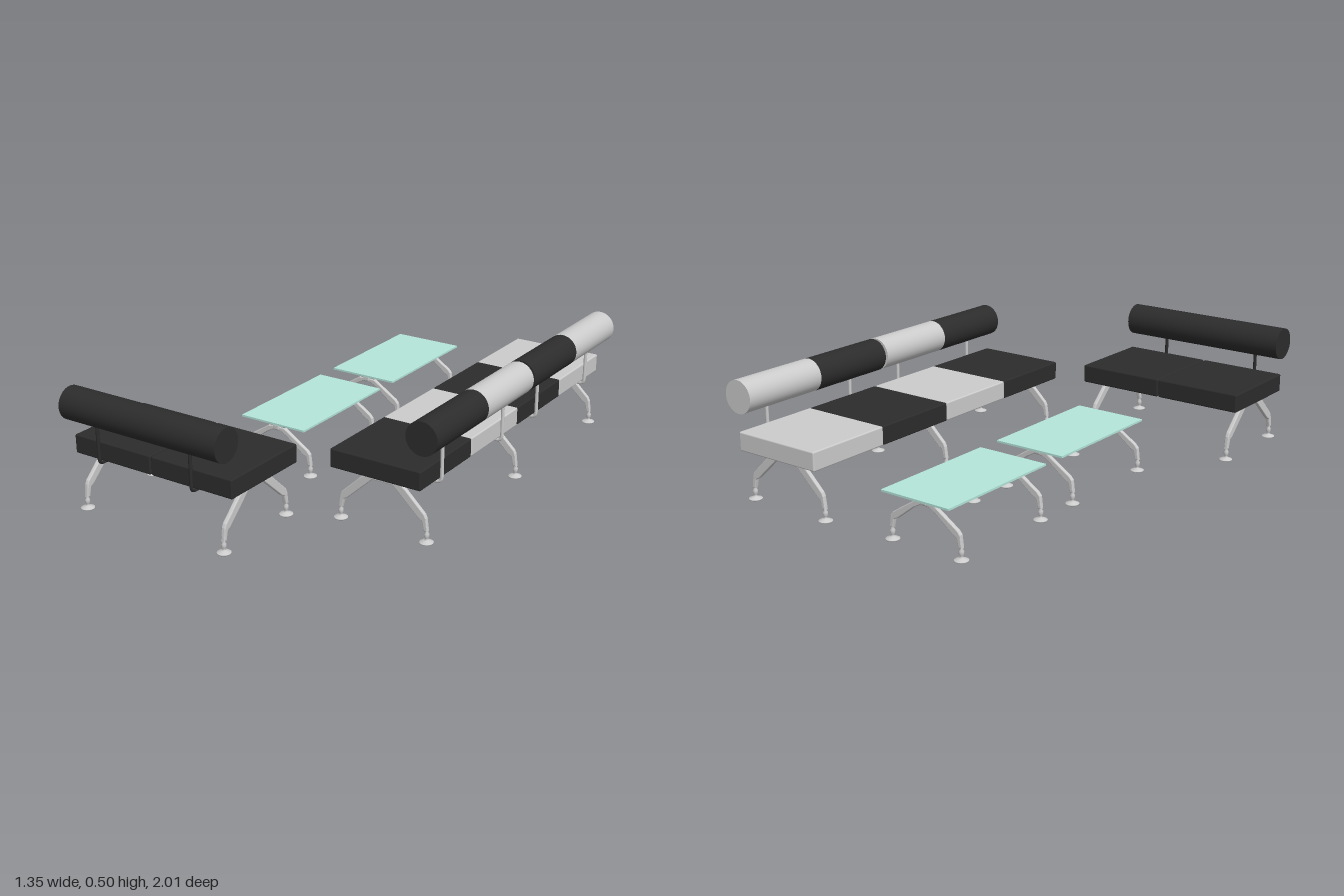
import * as THREE from 'three';
import { RoundedBoxGeometry } from 'three/addons/geometries/RoundedBoxGeometry.js';

const mat = (color) => new THREE.MeshStandardMaterial({ color });
const metal = mat(0xcccccc);
const light = mat(0xcccccc);
const dark = mat(0x2c2c2c);
const glass = mat(0xb4e6da);

function add(parent, name, geometry, material, x = 0, y = 0, z = 0) {
  const mesh = new THREE.Mesh(geometry, material);
  mesh.name = name;
  mesh.position.set(x, y, z);
  parent.add(mesh);
  return mesh;
}

// Round bar between two points
function bar(parent, name, a, b, radius, material = metal) {
  const from = new THREE.Vector3(...a), to = new THREE.Vector3(...b);
  const mesh = add(parent, name, new THREE.CylinderGeometry(radius, radius, from.distanceTo(to), 12), material);
  mesh.position.copy(from).add(to).multiplyScalar(0.5);
  mesh.quaternion.setFromUnitVectors(new THREE.Vector3(0, 1, 0), to.sub(from).normalize());
}

// Levelling foot: flared disc, thin neck and collar
const footProfile = [[0, 0], [0.027, 0], [0.027, 0.004], [0.01, 0.011], [0.006, 0.014],
  [0.006, 0.02], [0.01, 0.026], [0.01, 0.038], [0.006, 0.044], [0.006, 0.06]];
const footGeometry = new THREE.LatheGeometry(footProfile.map((p) => new THREE.Vector2(...p)), 20);

// Arched pair of legs: half outline mirrored, then extruded with soft edges
function legGeometry(half) {
  const mirrored = half.map(([x, y]) => [-x, y]).reverse();
  const shape = new THREE.Shape([...half, ...mirrored].map((p) => new THREE.Vector2(...p)));
  const geometry = new THREE.ExtrudeGeometry(shape, {
    depth: 0.008, bevelThickness: 0.005, bevelSize: 0.004, bevelOffset: -0.004, bevelSegments: 3,
  });
  return geometry.translate(0, 0, -0.004);
}
const seatLegs = legGeometry([[0.03, 0.214], [0.075, 0.212], [0.1, 0.194], [0.183, 0.115], [0.19, 0.1],
  [0.197, 0.048], [0.181, 0.048], [0.172, 0.086], [0.156, 0.095], [0.06, 0.184], [0.045, 0.198], [0.02, 0.198]]);
const tableLegs = legGeometry([[0.01, 0.187], [0.04, 0.184], [0.15, 0.113], [0.163, 0.098],
  [0.169, 0.048], [0.153, 0.048], [0.145, 0.084], [0.128, 0.092], [0.05, 0.152], [0.02, 0.168]]);

function legFrame(parent, geometry, footX, z) {
  const frame = new THREE.Group();
  frame.name = 'legFrame';
  frame.position.z = z;
  parent.add(frame);
  add(frame, 'legs', geometry, metal);
  for (const s of [-1, 1]) add(frame, 'foot', footGeometry, metal, s * footX, 0, 0);
  return frame;
}

// Bench running along z with its back towards +x; seats and backs are [zStart, zEnd, material]
function bench(name, { seats, backs, frames, posts, postMaterial }) {
  const group = new THREE.Group();
  group.name = name;
  for (const [a, b, m] of seats) {
    add(group, 'seatCushion', new RoundedBoxGeometry(0.395, 0.077, b - a, 3, 0.006), m, -0.015, 0.258, (a + b) / 2);
  }
  for (const [a, b, m] of backs) {
    const roll = add(group, 'backRoll', new THREE.CylinderGeometry(0.067, 0.067, b - a, 40), m, 0.187, 0.43, (a + b) / 2);
    roll.rotation.x = Math.PI / 2;
  }
  for (const z of frames) legFrame(group, seatLegs, 0.19, z);
  // Twin rails joining the leg frames
  for (const s of [-1, 1]) {
    bar(group, 'rail', [s * 0.065, 0.208, Math.min(...frames)], [s * 0.065, 0.208, Math.max(...frames)], 0.008);
  }
  // Bent brackets carrying the back rolls
  for (const z of posts) {
    const path = new THREE.CurvePath();
    const v = (x, y) => new THREE.Vector3(x, y, z);
    path.add(new THREE.LineCurve3(v(-0.07, 0.212), v(0.175, 0.212)));
    path.add(new THREE.QuadraticBezierCurve3(v(0.175, 0.212), v(0.197, 0.212), v(0.197, 0.234)));
    path.add(new THREE.LineCurve3(v(0.197, 0.234), v(0.197, 0.4)));
    add(group, 'backPost', new THREE.TubeGeometry(path, 60, 0.007, 10), postMaterial);
  }
  return group;
}

function table(zStart, zEnd, frames) {
  const group = new THREE.Group();
  group.name = 'table';
  add(group, 'glassTop', new THREE.BoxGeometry(0.312, 0.008, zEnd - zStart), glass, 0, 0.208, (zStart + zEnd) / 2);
  for (const z of frames) {
    const frame = legFrame(group, tableLegs, 0.161, z);
    add(frame, 'hub', new RoundedBoxGeometry(0.03, 0.022, 0.032, 2, 0.005), metal, 0, 0.185, 0);
    // Spread arms and pads under the glass
    for (const s of [-1, 1]) {
      bar(frame, 'topArm', [0, 0.183, 0], [s * 0.075, 0.2, 0], 0.006);
      add(frame, 'topPad', new THREE.CylinderGeometry(0.012, 0.012, 0.005, 16), metal, s * 0.075, 0.202, 0);
    }
  }
  bar(group, 'rail', [0, 0.188, frames[0]], [0, 0.188, frames[1]], 0.008);
  return group;
}

export function createModel() {
  const model = new THREE.Group();
  model.name = 'loungeSeating';

  const longBench = bench('longBench', {
    seats: [[-1, -0.625, light], [-0.623, -0.247, dark], [-0.243, 0.132, light], [0.134, 0.51, dark]],
    backs: [[-0.99, -0.615, light], [-0.615, -0.24, dark], [-0.228, 0.14, light], [0.14, 0.515, dark]],
    frames: [-0.93, -0.23, 0.47],
    posts: [-0.84, -0.38, -0.085, 0.38],
    postMaterial: metal,
  });
  longBench.position.x = 0.42;
  model.add(longBench);

  const shortBench = bench('shortBench', {
    seats: [[-0.08, 0.299, dark], [0.304, 0.68, dark]],
    backs: [[-0.067, 0.305, dark], [0.305, 0.68, dark]],
    frames: [-0.04, 0.632],
    posts: [0.095, 0.545],
    postMaterial: dark,
  });
  shortBench.rotation.y = -Math.PI / 2;
  shortBench.position.z = 0.755;
  model.add(shortBench);

  for (const t of [table(-0.965, -0.4, [-0.905, -0.44]), table(-0.298, 0.265, [-0.233, 0.23])]) {
    t.position.x = -0.245;
    model.add(t);
  }
  return model;
}
